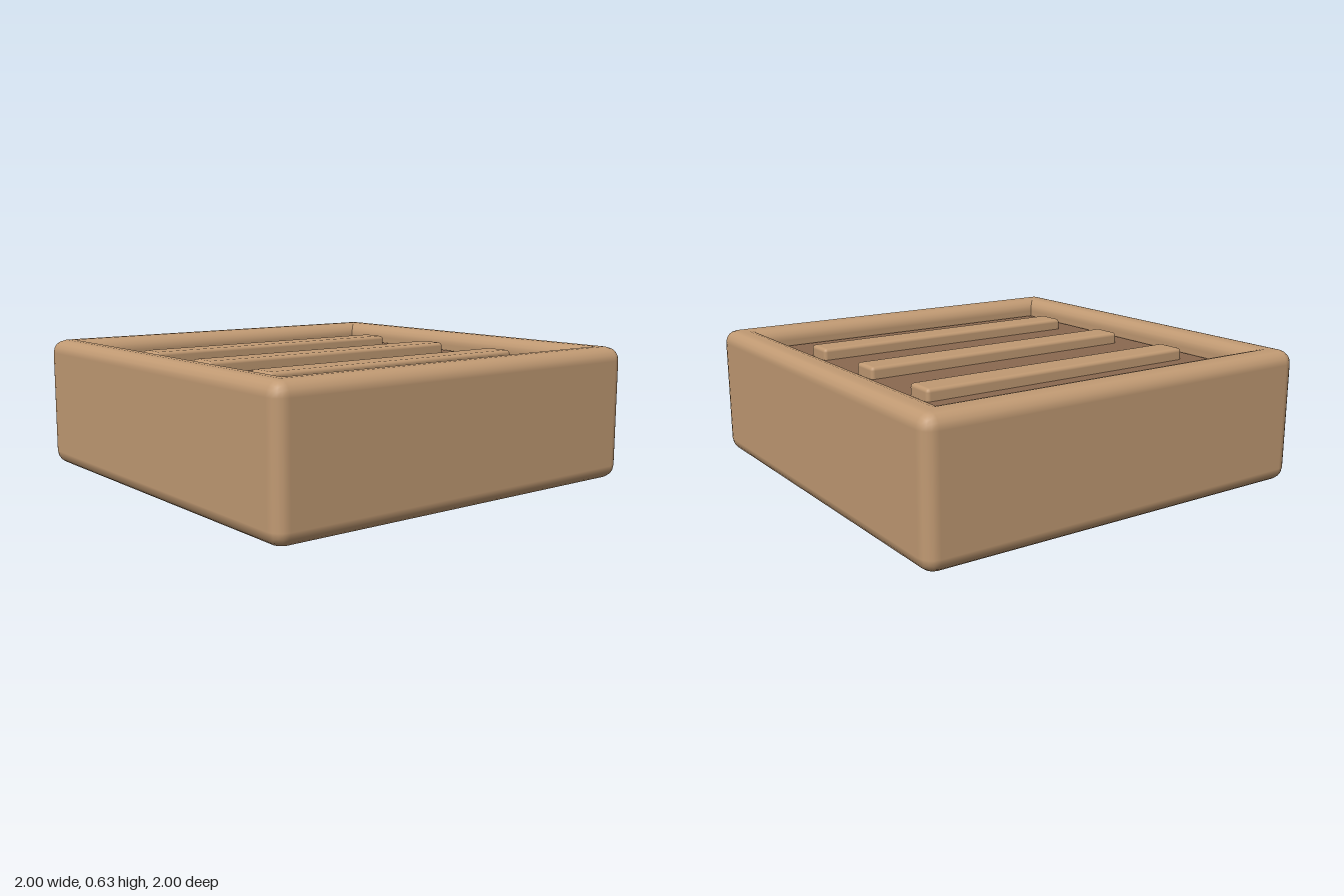
import * as THREE from 'three';
import { RoundedBoxGeometry } from 'three/addons/geometries/RoundedBoxGeometry.js';

export function createModel() {
  const model = new THREE.Group();
  model.name = 'crate';

  const lightWood = new THREE.MeshStandardMaterial({ color: 0xc19a73 });
  lightWood.name = 'light wood';
  const darkWood = new THREE.MeshStandardMaterial({ color: 0x8b6950 });
  darkWood.name = 'dark wood';

  // Softly rounded block, placed by its centre
  function block(name, material, size, radius, position) {
    const mesh = new THREE.Mesh(new RoundedBoxGeometry(...size, 2, radius), material);
    mesh.name = name;
    mesh.position.set(...position);
    model.add(mesh);
  }

  const height = 0.63, board = 0.16, offset = 1 - board / 2;

  // Four full-length boards, overlapping at the corners
  for (const [side, name] of [[1, 'front'], [-1, 'back']]) {
    block(name + 'Board', lightWood, [2, height, board], 0.065, [0, height / 2, side * offset]);
  }
  for (const [side, name] of [[1, 'left'], [-1, 'right']]) {
    block(name + 'Board', lightWood, [board, height, 2], 0.065, [side * offset, height / 2, 0]);
  }

  // Recessed core filling the frame
  const coreBottom = 0.02, coreTop = 0.54;
  block('corePanel', darkWood, [1.69, coreTop - coreBottom, 1.69], 0.02,
    [0, (coreTop + coreBottom) / 2, 0]);

  // Raised slats, sunk slightly into the core
  [-0.475, 0, 0.475].forEach((z, i) => {
    block('slat' + (i + 1), lightWood, [1.43, 0.08, 0.146], 0.018, [0, 0.555, z]);
  });

  return model;
}
